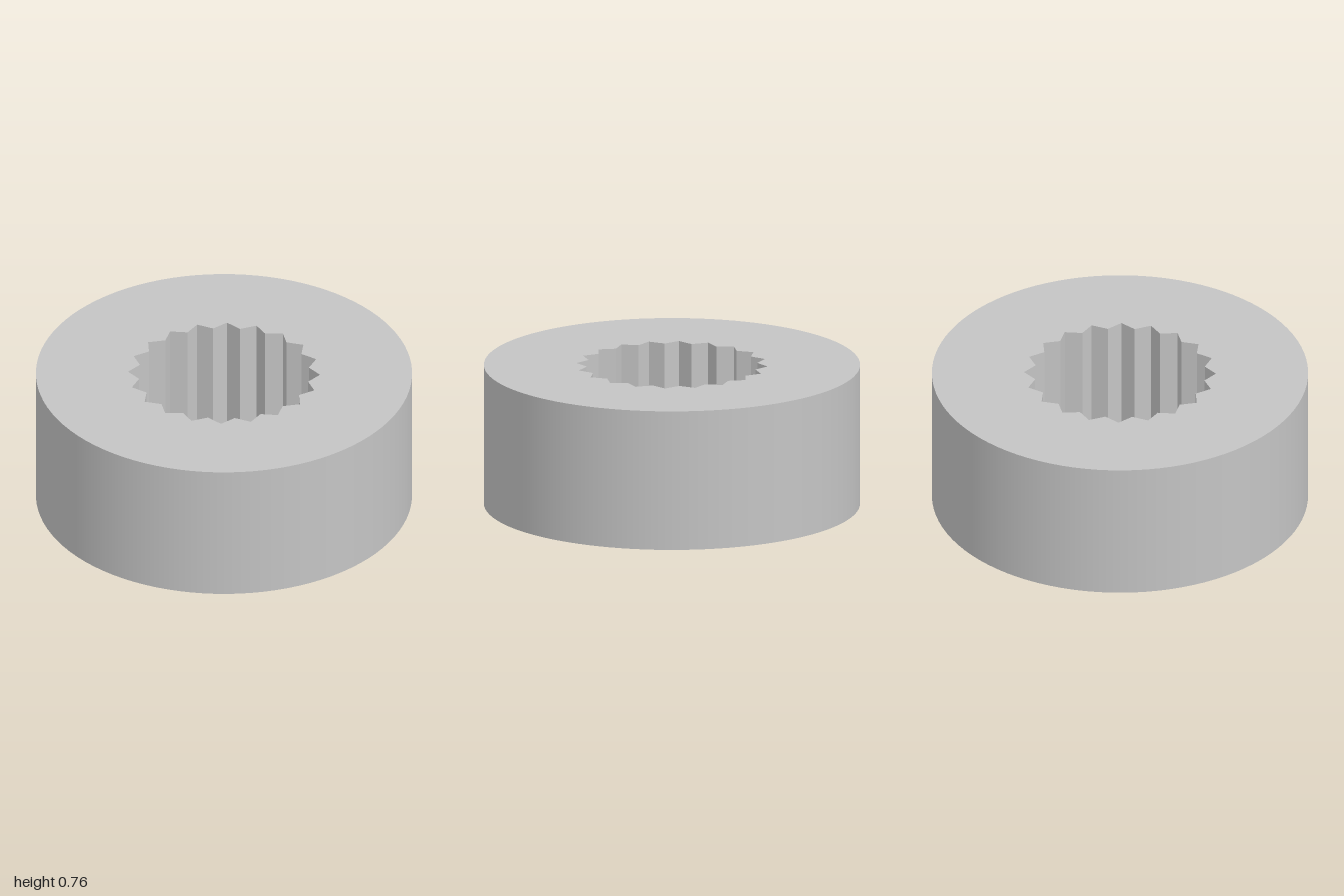
import * as THREE from 'three';

const HEIGHT = 0.76, RADIUS = 1, SEGMENTS = 96;
const TEETH = 20, TIP = 0.51, ROOT = 0.455, FLOOR_Y = 0.13;

// Radius of the toothed socket at the i-th half-tooth step
const toothRadius = (i) => (i % 2 === 0 ? TIP : ROOT);

function socketOutline() {
  const points = [];
  for (let i = 0; i < TEETH * 2; i++) {
    const a = (i / (TEETH * 2)) * Math.PI * 2;
    points.push(new THREE.Vector2(Math.sin(a) * toothRadius(i), Math.cos(a) * toothRadius(i)));
  }
  return points;
}

// Toothed wall, turned inside out so it faces the axis
function socketWallGeometry() {
  const depth = HEIGHT - FLOOR_Y;
  const geo = new THREE.CylinderGeometry(1, 1, depth, TEETH * 2, 1, true);
  const pos = geo.attributes.position;
  for (let v = 0; v < pos.count; v++) {
    const r = toothRadius(v % (TEETH * 2 + 1));
    pos.setXYZ(v, pos.getX(v) * r, pos.getY(v) + FLOOR_Y + depth / 2, pos.getZ(v) * r);
  }
  geo.index.array.reverse();
  const flat = geo.toNonIndexed();
  flat.computeVertexNormals();
  return flat;
}

export function createModel() {
  const group = new THREE.Group();
  group.name = 'splinedCap';
  const grey = new THREE.MeshStandardMaterial({ color: 0xc4c4c4 });
  grey.name = 'grey';

  const add = (name, geometry) => {
    const mesh = new THREE.Mesh(geometry, grey);
    mesh.name = name;
    group.add(mesh);
  };

  // Smooth round body
  add('outerWall', new THREE.CylinderGeometry(RADIUS, RADIUS, HEIGHT, SEGMENTS, 1, true)
    .translate(0, HEIGHT / 2, 0));
  add('base', new THREE.CircleGeometry(RADIUS, SEGMENTS).rotateX(Math.PI / 2));

  // Top face with the toothed opening
  const top = new THREE.Shape();
  top.absarc(0, 0, RADIUS, 0, Math.PI * 2, false);
  top.holes.push(new THREE.Path(socketOutline()));
  add('topFace', new THREE.ShapeGeometry(top, SEGMENTS / 2)
    .rotateX(-Math.PI / 2).translate(0, HEIGHT, 0));

  // Blind socket
  add('socketWall', socketWallGeometry());
  add('socketFloor', new THREE.ShapeGeometry(new THREE.Shape(socketOutline()))
    .rotateX(-Math.PI / 2).translate(0, FLOOR_Y, 0));

  return group;
}
